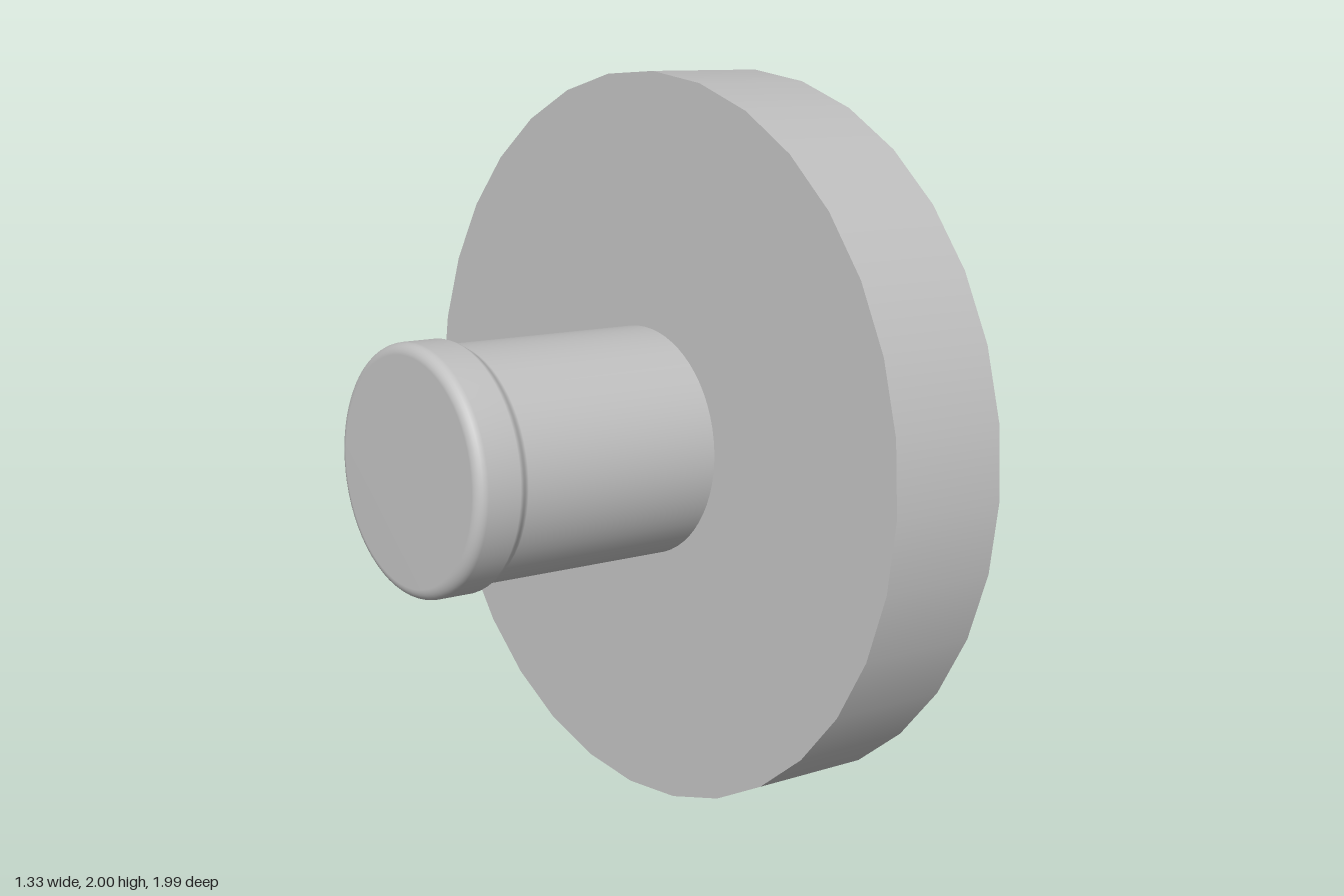
import * as THREE from 'three';

export function createModel() {
  const metal = new THREE.MeshStandardMaterial({ color: 0xc0c0c0 });
  metal.name = 'plainGrey';

  const discRadius = 0.985, discThickness = 0.35;
  const stemRadius = 0.31, headRadius = 0.327, stemLength = 0.746;
  const bevel = 0.03;

  // Knob: local +y runs along the stem, the origin is where stem meets disc
  const knob = new THREE.Group();
  knob.name = 'knob';

  // Wide flat disc
  const disc = new THREE.Mesh(
    new THREE.CylinderGeometry(discRadius, discRadius, discThickness, 32), metal);
  disc.name = 'disc';
  disc.position.y = -discThickness / 2;
  knob.add(disc);

  // Stem with a slightly wider, rounded head
  const profile = [[stemRadius, -0.02], [stemRadius, stemLength - 0.158]];
  for (let i = 1; i <= 6; i++) {
    const t = i / 6;
    const ease = t * t * (3 - 2 * t);
    profile.push([
      stemRadius + (headRadius - stemRadius) * ease,
      stemLength - 0.158 + 0.035 * t,
    ]);
  }
  for (let i = 0; i <= 6; i++) {
    const a = (i / 6) * Math.PI / 2;
    profile.push([
      headRadius - bevel + bevel * Math.cos(a),
      stemLength - bevel + bevel * Math.sin(a),
    ]);
  }
  profile.push([0, stemLength]);
  const stem = new THREE.Mesh(
    new THREE.LatheGeometry(profile.map(([x, y]) => new THREE.Vector2(x, y)), 64), metal);
  stem.name = 'stem';
  knob.add(stem);

  // Tilt the whole knob
  const axis = new THREE.Vector3(-1, 0.145, -0.145).normalize();
  knob.quaternion.setFromUnitVectors(new THREE.Vector3(0, 1, 0), axis);
  knob.position.set(0.125, 1.025, -0.025);

  const model = new THREE.Group();
  model.name = 'model';
  model.add(knob);
  return model;
}
